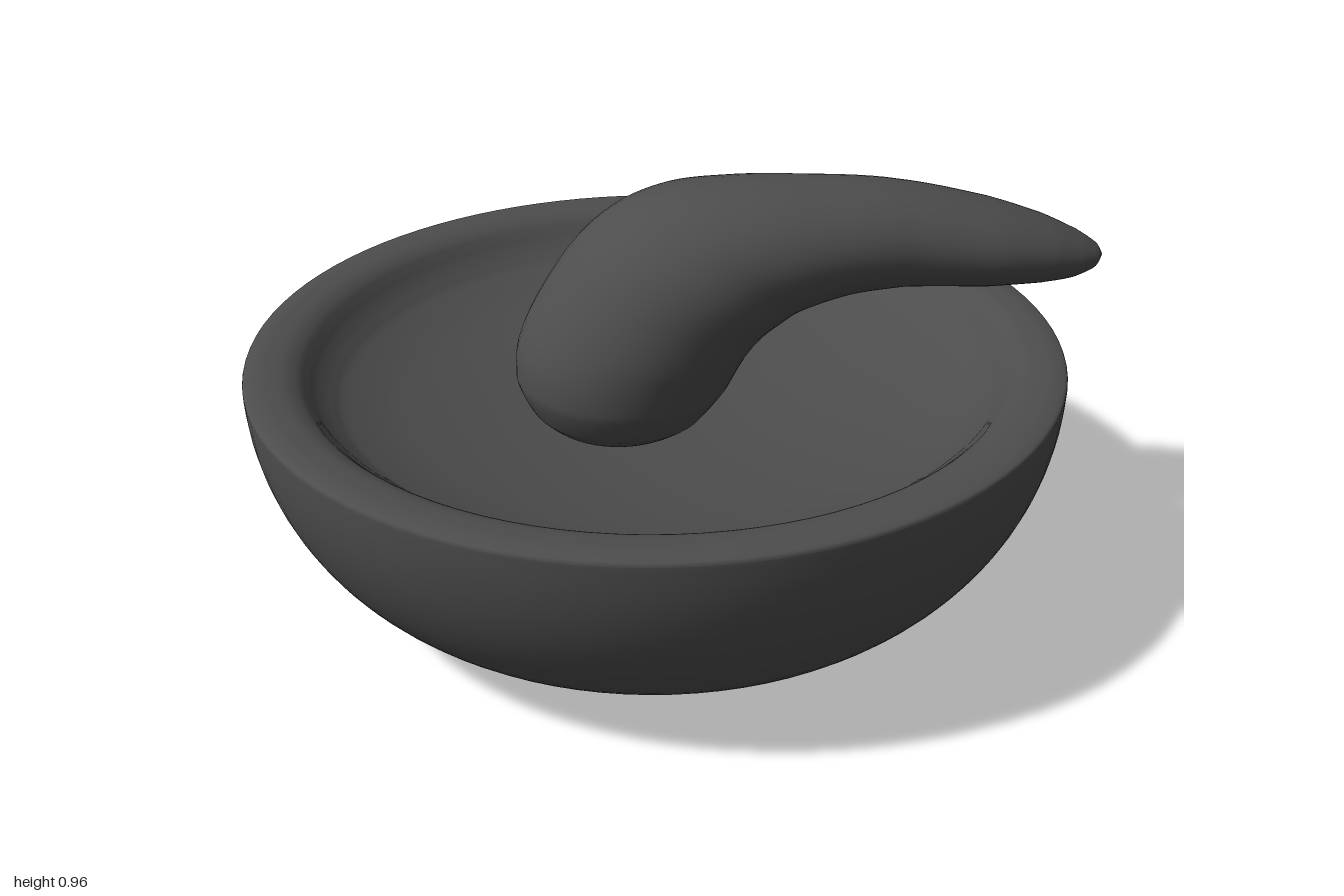
import * as THREE from 'three';

const stone = new THREE.MeshStandardMaterial({ color: 0x4d4d4d });
stone.name = 'dark stone';

// Bowl: rounded outside, softly domed rim, low inner wall and dished floor
function makeBowl() {
  const pts = [new THREE.Vector2(0, 0), new THREE.Vector2(0.25, 0.004)];
  for (let i = 0; i <= 24; i++) {
    const a = (i / 24) * Math.PI / 2;
    pts.push(new THREE.Vector2(0.46 + 0.49 * Math.sin(a), 0.56 - 0.55 * Math.cos(a)));
  }
  const inner = new THREE.SplineCurve([
    [0.95, 0.568], [0.945, 0.576], [0.925, 0.581], [0.9, 0.582], [0.86, 0.577], [0.83, 0.563],
    [0.81, 0.543], [0.79, 0.52], [0.76, 0.494], [0.72, 0.47], [0.6, 0.427], [0.4, 0.384],
    [0.2, 0.358], [0, 0.35],
  ].map(([r, y]) => new THREE.Vector2(r, y)));
  pts.push(...inner.getPoints(78));
  pts[pts.length - 1].x = 0;
  const bowl = new THREE.Mesh(new THREE.LatheGeometry(pts, 96), stone);
  bowl.name = 'bowl';
  bowl.position.x = -0.05;
  return bowl;
}

// Bent pestle: elliptical sections lofted from the buried foot to the tip
function makePestle() {
  // upper edge x, y, lower edge x, y, centre z, sideways radius
  const sections = [
    [-0.14, 0.34, -0.14, 0.34, -0.02, 0],
    [-0.29, 0.36, 0.00, 0.352, -0.02, 0.145],
    [-0.35, 0.41, 0.07, 0.395, -0.02, 0.215],
    [-0.383, 0.49, 0.13, 0.475, -0.02, 0.258],
    [-0.37, 0.58, 0.175, 0.56, -0.02, 0.27],
    [-0.26, 0.775, 0.21, 0.6, -0.02, 0.27],
    [-0.153, 0.88, 0.25, 0.63, -0.015, 0.258],
    [-0.03, 0.935, 0.285, 0.652, -0.01, 0.236],
    [0.115, 0.957, 0.33, 0.673, 0.005, 0.21],
    [0.27, 0.96, 0.40, 0.693, 0.015, 0.184],
    [0.52, 0.943, 0.51, 0.706, 0.025, 0.157],
    [0.73, 0.897, 0.705, 0.701, 0.035, 0.144],
    [0.86, 0.853, 0.83, 0.703, 0.04, 0.115],
    [0.94, 0.815, 0.91, 0.71, 0.045, 0.081],
    [0.982, 0.787, 0.965, 0.729, 0.05, 0.047],
    [1.0, 0.758, 1.0, 0.758, 0.05, 0],
  ];
  const curve = (f) => new THREE.CatmullRomCurve3(sections.map((s) => new THREE.Vector3(...f(s))));
  const path = curve(([ux, uy, lx, ly, z]) => [(ux + lx) / 2, (uy + ly) / 2, z]);
  const size = curve(([ux, uy, lx, ly, , w]) => [(ux - lx) / 2, (uy - ly) / 2, w]);
  const rings = 120, sides = 48, pos = [], index = [];
  for (let i = 0; i <= rings; i++) {
    const c = path.getPoint(i / rings), h = size.getPoint(i / rings);
    for (let j = 0; j < sides; j++) {
      const a = (j / sides) * Math.PI * 2, n = Math.cos(a);
      pos.push(c.x + h.x * n, c.y + h.y * n, c.z + h.z * Math.sin(a));
      if (i < rings) {
        const k = (j + 1) % sides, p = i * sides, q = p + sides;
        index.push(p + j, p + k, q + j, p + k, q + k, q + j);
      }
    }
  }
  const geo = new THREE.BufferGeometry();
  geo.setAttribute('position', new THREE.Float32BufferAttribute(pos, 3));
  geo.setIndex(index);
  geo.computeVertexNormals();
  const pestle = new THREE.Mesh(geo, stone);
  pestle.name = 'pestle';
  return pestle;
}

export function createModel() {
  const group = new THREE.Group();
  group.name = 'mortar and pestle';
  group.add(makeBowl(), makePestle());
  return group;
}
